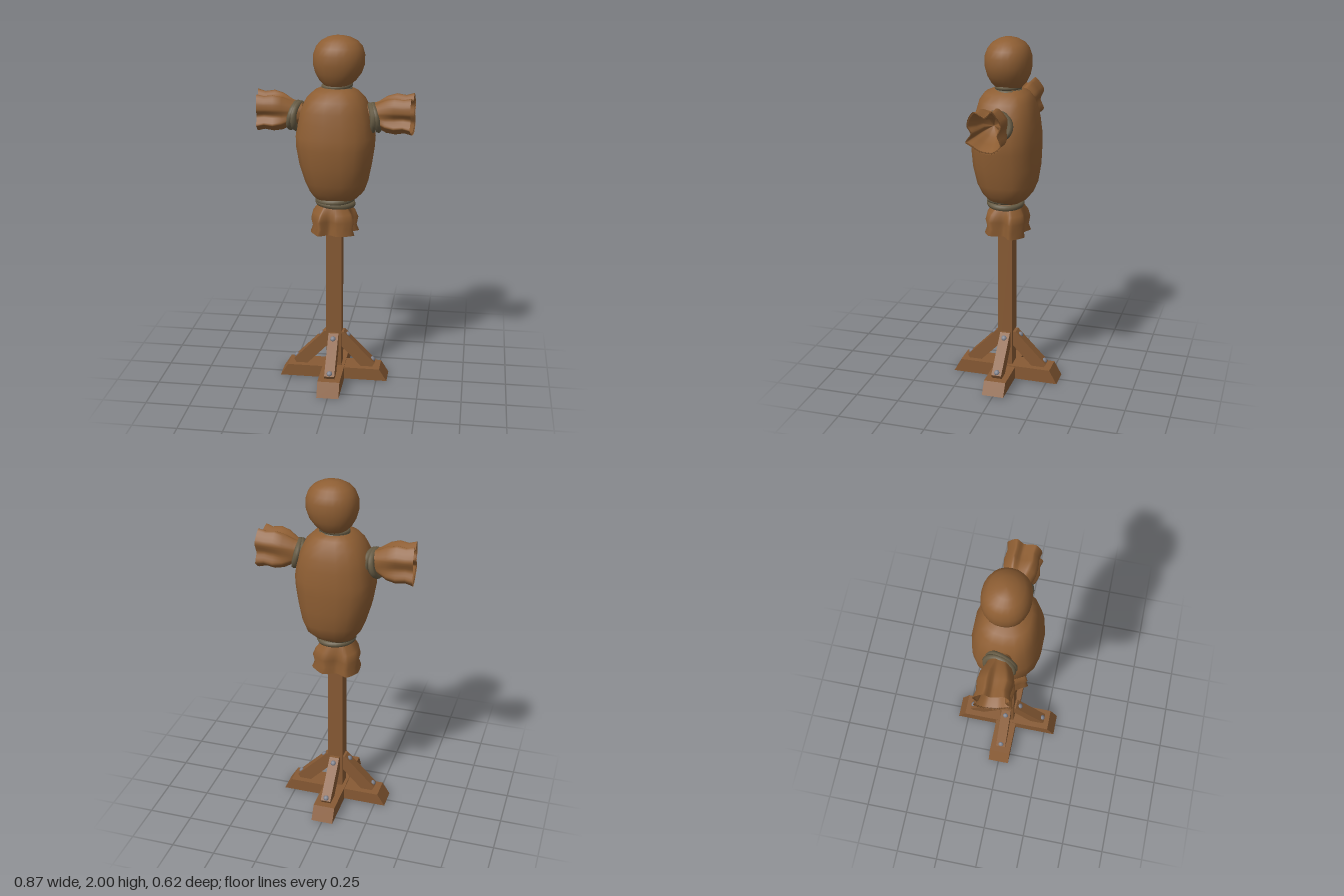
import * as THREE from 'three';

const mat = (name, color, side = THREE.FrontSide) => {
  const m = new THREE.MeshStandardMaterial({ color, side });
  m.name = name;
  return m;
};

// Skin a list of closed rings (arrays of Vector3) with smooth normals
function loft(rings) {
  const n = rings[0].length, pos = [], idx = [];
  rings.forEach(r => r.forEach(p => pos.push(p.x, p.y, p.z)));
  for (let i = 0; i < rings.length - 1; i++) {
    for (let j = 0; j < n; j++) {
      const a = i * n + j, b = i * n + (j + 1) % n;
      idx.push(a, a + n, b, b, a + n, b + n);
    }
  }
  const g = new THREE.BufferGeometry();
  g.setAttribute('position', new THREE.Float32BufferAttribute(pos, 3));
  g.setIndex(idx);
  g.computeVertexNormals();
  return g;
}

// Stuffed sack from rows of [y, xMin, xMax, zMin, zMax]; power < 1 squares it off
function sack(rows, segments, power) {
  const soft = v => Math.sign(v) * Math.abs(v) ** power;
  return loft(rows.map(([y, x0, x1, z0, z1]) => Array.from({ length: segments }, (_, j) => {
    const a = j / segments * Math.PI * 2;
    return new THREE.Vector3(
      (x0 + x1) / 2 + (x1 - x0) / 2 * soft(Math.cos(a)), y,
      (z0 + z1) / 2 + (z1 - z0) / 2 * soft(Math.sin(a)));
  })));
}

// Crumpled cloth end along +x, gathered at x = 0 and flaring to a ragged mouth
function clothEnd() {
  const mouth = [[.06, .105], [0, .08], [-.04, .115], [-.09, .05], [-.07, -.01], [-.09, -.065],
    [-.04, -.105], [.03, -.1], [.075, -.075], [.105, -.055], [.075, -.01], [.095, .025], [.09, .065]];
  const edge = new THREE.CatmullRomCurve3(
    mouth.map(([z, y]) => new THREE.Vector3(0, y, z)), true, 'catmullrom', 0.35).getPoints(52).slice(0, 52);
  // [x, size, how much of the mouth's folds show]
  const rows = [[-.03, .055, 0], [.03, .064, .15], [.08, .085, .55], [.13, 1, .95], [.18, .92, 1], [.222, 1.02, 1],
    [.215, .93, 1], [.15, .72, 1], [.08, .5, .9], [.05, .01, 1]];
  return loft(rows.map(([x, size, fold], i) => edge.map(p => {
    const a = Math.atan2(p.z, p.y), r = i < 3 ? size : .09;
    const k = i < 3 ? 1 : size;
    const y = THREE.MathUtils.lerp(Math.cos(a) * r, p.y * k, fold);
    const z = THREE.MathUtils.lerp(Math.sin(a) * r, p.z * k, fold);
    return new THREE.Vector3(x - z * .1 * Math.min(1, Math.max(0, x / .2)), y, z);
  })));
}

export function createModel() {
  const burlap = mat('burlap', 0x8e5e33);
  const cloth = mat('burlap cloth', 0x8e5e33, THREE.DoubleSide);
  const wood = mat('wood', 0x875a34);
  const rope = mat('rope', 0x665b44);
  const metal = mat('metal', 0x7c7f8a);
  const root = new THREE.Group();
  root.name = 'trainingDummy';
  const add = (parent, name, geometry, material) => {
    const m = new THREE.Mesh(geometry, material);
    m.name = name;
    parent.add(m);
    return m;
  };

  // Rope binding: two crossed coils around the y axis
  const binding = (parent, name, rx, rz, tube, gap, tilt) => {
    const g = new THREE.Group();
    g.name = name;
    [-1, 1].forEach(s => {
      const ring = new THREE.TorusGeometry(1, tube / rx, 8, 28);
      ring.rotateX(Math.PI / 2);
      ring.scale(rx, rx, rz);
      const coil = add(g, 'coil', ring, rope);
      coil.position.y = s * gap;
      coil.rotation.set(s * tilt * .6, 0, s * tilt);
    });
    parent.add(g);
    return g;
  };

  // Head and body sacks
  add(root, 'head', sack([
    [1.715, -.04, .06, -.06, .05], [1.735, -.06, .085, -.085, .065], [1.76, -.085, .115, -.108, .085],
    [1.8, -.107, .145, -.127, .103], [1.85, -.12, .163, -.137, .115], [1.9, -.118, .163, -.136, .115],
    [1.94, -.103, .15, -.123, .1], [1.97, -.078, .124, -.1, .078], [1.99, -.042, .085, -.064, .045],
    [1.999, -.01, .05, -.03, .015], [2, .019, .021, -.011, -.009],
  ], 24, .92), burlap);
  add(root, 'body', sack([
    [1.08, -.005, .005, -.005, .005], [1.082, -.08, .09, -.08, .08], [1.105, -.115, .13, -.115, .105],
    [1.14, -.14, .165, -.145, .13], [1.2, -.165, .187, -.17, .16], [1.3, -.195, .207, -.184, .183],
    [1.4, -.213, .222, -.187, .19], [1.46, -.215, .226, -.186, .188], [1.54, -.2, .214, -.177, .175],
    [1.6, -.187, .198, -.165, .165], [1.66, -.155, .17, -.145, .148], [1.7, -.115, .128, -.118, .12],
    [1.72, -.07, .085, -.075, .07], [1.73, .005, .015, -.01, 0],
  ], 18, .82), burlap);
  binding(root, 'neckRope', .074, .063, .013, .008, .07).position.set(.012, 1.722, -.008);
  binding(root, 'waistRope', .096, .09, .017, .013, .06).position.set(.006, 1.083, .01);

  // Sleeves, mirrored
  const end = clothEnd();
  [-1, 1].forEach(s => {
    const arm = new THREE.Group();
    arm.name = s > 0 ? 'leftArm' : 'rightArm';
    arm.scale.x = s;
    add(arm, 'sleeve', end, cloth).position.set(.205, 1.575, 0);
    const b = binding(arm, 'sleeveRope', .068, .073, .018, .014, .1);
    b.position.set(.21, 1.558, .003);
    b.rotation.set(0, .24, -Math.PI / 2 + .12);
    root.add(arm);
  });

  // Loose cloth below the waist
  const skirt = add(root, 'skirt', end, cloth);
  skirt.position.set(-.008, 1.085, 0);
  skirt.rotation.z = -Math.PI / 2;
  skirt.scale.set(.86, 1.2, 1.22);

  // Post
  add(root, 'post', new THREE.BoxGeometry(.088, 1.06, .084), wood).position.set(0, .56, .003);

  // Side profile in the x-y plane extruded to a centred width
  const plank = (pts, width) => {
    const shape = new THREE.Shape(pts.map(p => new THREE.Vector2(...p)));
    return new THREE.ExtrudeGeometry(shape, { depth: width, bevelEnabled: false }).translate(0, 0, -width / 2);
  };

  // Crossed feet
  [[0, .004, .075], [Math.PI / 2, 0, .08]].forEach(([turn, y0, y1]) => {
    const foot = plank([[-.312, y0], [.312, y0], [.268, y1], [-.268, y1]], .126);
    add(root, 'footBeam', foot, wood).rotation.y = turn;
  });

  // Four diagonal braces with bolts
  const brace = plank([[.035, .285], [.056, .285], [.238, .098], [.222, .07], [.162, .07], [.035, .202]], .058);
  const bolt = new THREE.SphereGeometry(.016, 10, 6).scale(1, .7, 1);
  for (let i = 0; i < 4; i++) {
    const g = new THREE.Group();
    g.name = 'braceAssembly';
    g.rotation.y = i * Math.PI / 2;
    add(g, 'brace', brace, wood);
    [[.08, .262], [.226, .112]].forEach(([x, y]) => {
      const m = add(g, 'bolt', bolt, metal);
      m.position.set(x, y, 0);
      m.rotation.z = -Math.PI / 4;
    });
    root.add(g);
  }
  return root;
}
